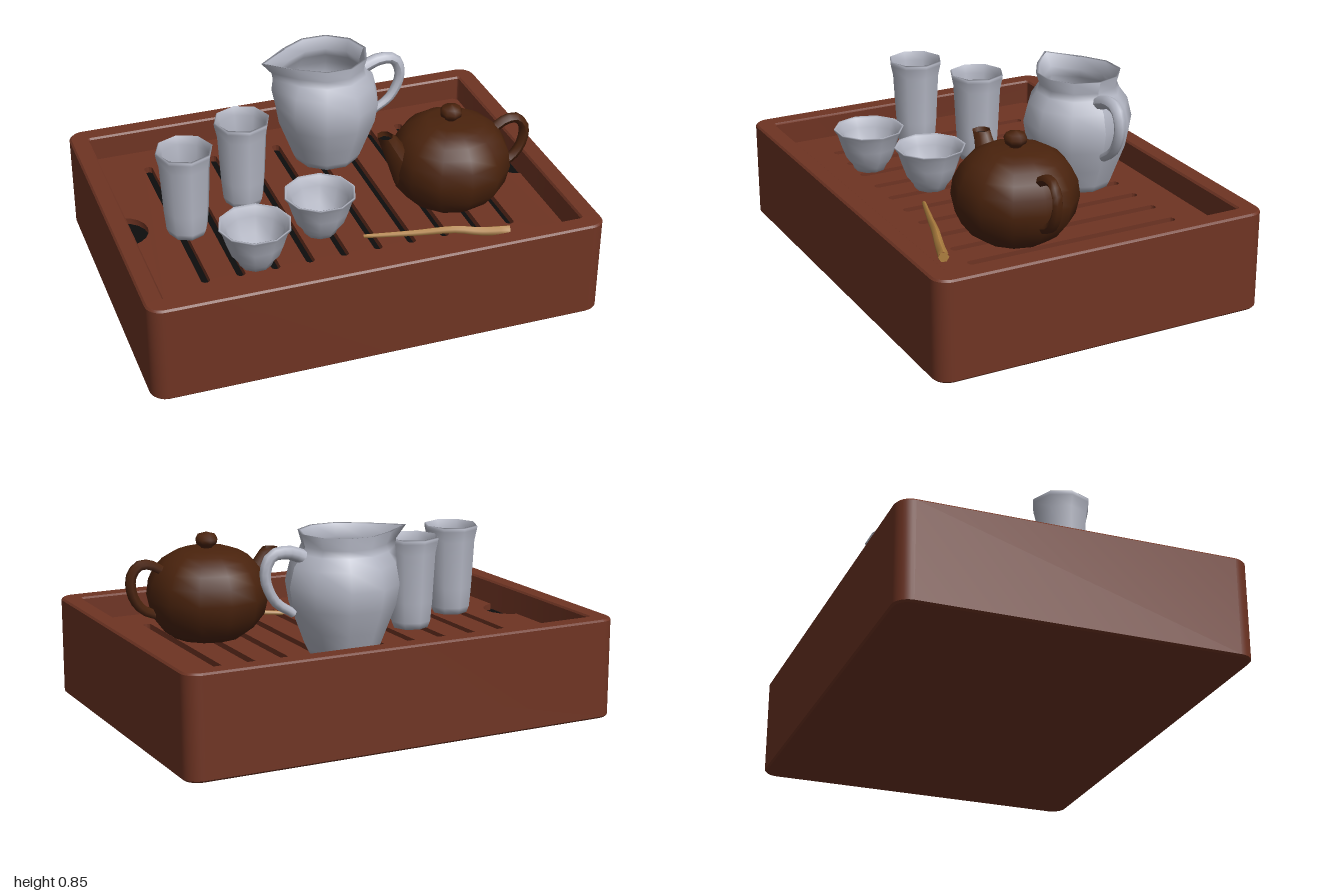
import * as THREE from 'three';
import { toCreasedNormals } from 'three/addons/utils/BufferGeometryUtils.js';

const material = (name, color, side = THREE.FrontSide) => {
  const m = new THREE.MeshStandardMaterial({ color, side });
  m.name = name;
  return m;
};

// Rounded rectangle outline, used for the tray, the slab and the slots
function roundedRect(Type, cx, cy, w, h, r) {
  const s = new Type(), x = w / 2 - r, y = h / 2 - r;
  s.absarc(cx + x, cy + y, r, 0, Math.PI / 2);
  s.absarc(cx - x, cy + y, r, Math.PI / 2, Math.PI);
  s.absarc(cx - x, cy - y, r, Math.PI, Math.PI * 1.5);
  s.absarc(cx + x, cy - y, r, Math.PI * 1.5, Math.PI * 2);
  s.closePath();
  return s;
}

// Extrude a plan shape upward from y0 to y1
function slabGeometry(shape, y0, y1, bevel = 0) {
  const g = new THREE.ExtrudeGeometry(shape, {
    depth: y1 - y0 - 2 * bevel, curveSegments: 4, bevelEnabled: bevel > 0,
    bevelSize: bevel, bevelThickness: bevel, bevelOffset: -bevel, bevelSegments: 1,
  });
  g.rotateX(-Math.PI / 2).translate(0, y0 + bevel, 0);
  return toCreasedNormals(g, 0.7);
}

// Lathe from [radius, height] pairs, with a vertex row facing -x
function lathe(profile, sides) {
  const pts = profile.map(([r, y]) => new THREE.Vector2(r, y));
  return new THREE.LatheGeometry(pts, sides, Math.PI / 2);
}

// Round tube along a path with a radius that changes by a rule
function taperedTube(points, radius, steps, sides) {
  const curve = new THREE.CatmullRomCurve3(points.map((p) => new THREE.Vector3(...p)));
  const g = new THREE.TubeGeometry(curve, steps, 1, sides);
  const pos = g.attributes.position, v = new THREE.Vector3();
  for (let i = 0; i < pos.count; i++) {
    const t = Math.floor(i / (sides + 1)) / steps;
    const c = curve.getPointAt(t);
    v.fromBufferAttribute(pos, i).sub(c).multiplyScalar(radius(t)).add(c);
    pos.setXYZ(i, v.x, v.y, v.z);
  }
  g.computeVertexNormals();
  return g;
}

export function createModel() {
  const wood = material('reddish wood', 0x6f3423);
  const black = material('black hollow', 0x0d0d0d);
  const clay = material('brown clay', 0x4a230d, THREE.DoubleSide);
  const porcelain = material('pale porcelain', 0xb4b7c4, THREE.DoubleSide);
  const bamboo = material('bamboo', 0xb08040);

  const model = new THREE.Group();
  const add = (parent, name, geometry, mat, x = 0, y = 0, z = 0) => {
    const mesh = new THREE.Mesh(geometry, mat);
    mesh.name = name;
    mesh.position.set(x, y, z);
    parent.add(mesh);
    return mesh;
  };
  const group = (name, x, y, z) => {
    const g = new THREE.Group();
    g.name = name;
    g.position.set(x, y, z);
    model.add(g);
    return g;
  };
  const TOP = 0.335; // height of the slatted top

  // Tray frame, underside and dark drip floor
  const frame = roundedRect(THREE.Shape, 0, 0, 2, 1.51, 0.07);
  frame.holes.push(roundedRect(THREE.Path, 0, 0, 1.83, 1.34, 0.01));
  add(model, 'trayFrame', slabGeometry(frame, 0, 0.44, 0.008), wood);
  add(model, 'trayBottom', new THREE.BoxGeometry(1.85, 0.03, 1.36), wood, 0, 0.015, 0);
  add(model, 'dripFloor', new THREE.BoxGeometry(1.84, 0.02, 1.35), black, 0, 0.295, 0);

  // Slatted top with two finger notches and ten drain slots
  const slab = new THREE.Shape();
  const hx = 0.9, hz = 0.655, notch = 0.115, nz = 0.015, c = 0.02;
  slab.moveTo(-hx + c, -hz);
  slab.lineTo(hx - c, -hz);
  slab.lineTo(hx, -hz + c);
  slab.absarc(hx + 0.025, nz, notch, Math.PI * 1.43, Math.PI * 0.57, true);
  slab.lineTo(hx, hz - c);
  slab.lineTo(hx - c, hz);
  slab.lineTo(-hx + c, hz);
  slab.lineTo(-hx, hz - c);
  slab.absarc(-hx - 0.025, nz, notch, Math.PI * 0.43, -Math.PI * 0.43, true);
  slab.lineTo(-hx, -hz + c);
  slab.closePath();
  for (let i = 0; i < 10; i++) {
    slab.holes.push(roundedRect(THREE.Path, -0.685 + i * 0.1522, 0.02, 0.038, 0.98, 0.018));
  }
  add(model, 'slattedTop', slabGeometry(slab, 0.306, TOP), wood);

  // Tall cups
  const tallCup = lathe([[0, 0], [0.08, 0], [0.092, 0.03], [0.1, 0.12], [0.112, 0.34], [0.123, 0.39],
    [0.125, 0.405], [0.119, 0.41], [0.108, 0.37], [0.1, 0.3], [0.088, 0.1], [0.06, 0.03], [0, 0.025]], 8);
  [[-0.655, 0.065], [-0.352, -0.1]].forEach(([x, z], i) =>
    add(model, 'tallCup' + (i + 1), tallCup, porcelain, x, TOP, z));

  // Small bowls
  const bowl = lathe([[0, 0], [0.07, 0], [0.078, 0.02], [0.105, 0.055], [0.125, 0.11], [0.142, 0.165],
    [0.158, 0.188], [0.157, 0.195], [0.146, 0.19], [0.128, 0.15], [0.105, 0.08], [0.07, 0.04], [0, 0.03]], 10);
  [[-0.45, 0.395], [-0.115, 0.25]].forEach(([x, z], i) =>
    add(model, 'bowl' + (i + 1), bowl, porcelain, x, TOP, z));

  // Pitcher: lathed body whose rim is drawn out into a pouring lip on -x
  const pitcher = group('pitcher', 0.125, TOP, -0.355);
  const jug = lathe([[0, 0], [0.145, 0], [0.16, 0.03], [0.19, 0.11], [0.228, 0.21], [0.243, 0.3],
    [0.222, 0.385], [0.185, 0.435], [0.172, 0.465], [0.188, 0.52], [0.175, 0.518], [0.158, 0.465],
    [0.175, 0.425], [0.21, 0.37], [0.228, 0.3], [0.205, 0.19], [0.15, 0.04], [0, 0.03]], 10);
  const p = jug.attributes.position;
  for (let i = 0; i < p.count; i++) {
    const x = p.getX(i), y = p.getY(i), r = Math.hypot(x, p.getZ(i));
    const facing = r > 0 ? Math.max(0, -x / r) : 0;
    const lift = Math.max(0, (y - 0.33) / 0.19);
    if (facing > 0.5) p.setX(i, x - 0.117 * Math.pow(lift, 0.9) * Math.pow(facing, 8));
  }
  jug.computeVertexNormals();
  add(pitcher, 'pitcherBody', jug, porcelain);
  add(pitcher, 'pitcherHandle', taperedTube([[0.18, 0.425, 0], [0.25, 0.45, 0], [0.325, 0.44, 0],
    [0.355, 0.36, 0], [0.31, 0.25, 0], [0.225, 0.19, 0]], (t) => 0.031 - 0.012 * t, 14, 8), porcelain);

  // Teapot
  const teapot = group('teapot', 0.515, TOP, 0.165);
  add(teapot, 'teapotBody', lathe([[0, 0], [0.15, 0], [0.2, 0.035], [0.25, 0.1], [0.268, 0.18],
    [0.258, 0.25], [0.23, 0.305], [0.195, 0.343], [0.15, 0.37], [0.105, 0.386], [0, 0.392]], 12), clay);
  add(teapot, 'lidKnob', lathe([[0.025, 0.385], [0.027, 0.395], [0.047, 0.41], [0.051, 0.428],
    [0.04, 0.448], [0, 0.46]], 8), clay);
  add(teapot, 'teapotHandle', taperedTube([[0.2, 0.3, 0], [0.255, 0.335, 0], [0.31, 0.34, 0], [0.35, 0.295, 0],
    [0.345, 0.21, 0], [0.3, 0.145, 0], [0.23, 0.115, 0]], () => 0.023, 14, 6), clay);

  // Spout, with its open mouth cut level
  const spout = taperedTube([[-0.19, 0.15, 0], [-0.235, 0.235, 0], [-0.265, 0.29, 0], [-0.305, 0.363, 0]],
    (t) => 0.075 - 0.035 * Math.min(1, t * 1.2), 7, 8);
  const sp = spout.attributes.position;
  for (let i = sp.count - 9; i < sp.count; i++) sp.setY(i, 0.363);
  spout.computeVertexNormals();
  add(teapot, 'teapotSpout', spout, clay);
  add(teapot, 'spoutHollow', new THREE.CircleGeometry(0.028, 8).rotateX(-Math.PI / 2), black, -0.303, 0.345, 0);

  // Bamboo scoop lying on the slats
  add(model, 'bambooScoop', taperedTube([[0.045, 0.338, 0.36], [0.25, 0.352, 0.427], [0.42, 0.368, 0.483],
    [0.52, 0.358, 0.516], [0.64, 0.362, 0.555]], (t) => 0.009 + 0.014 * t, 16, 6), bamboo);
  const end = add(model, 'scoopEnd', new THREE.CircleGeometry(0.023, 6), bamboo, 0.64, 0.362, 0.555);
  end.rotation.y = Math.atan2(0.12, 0.039);

  return model;
}
